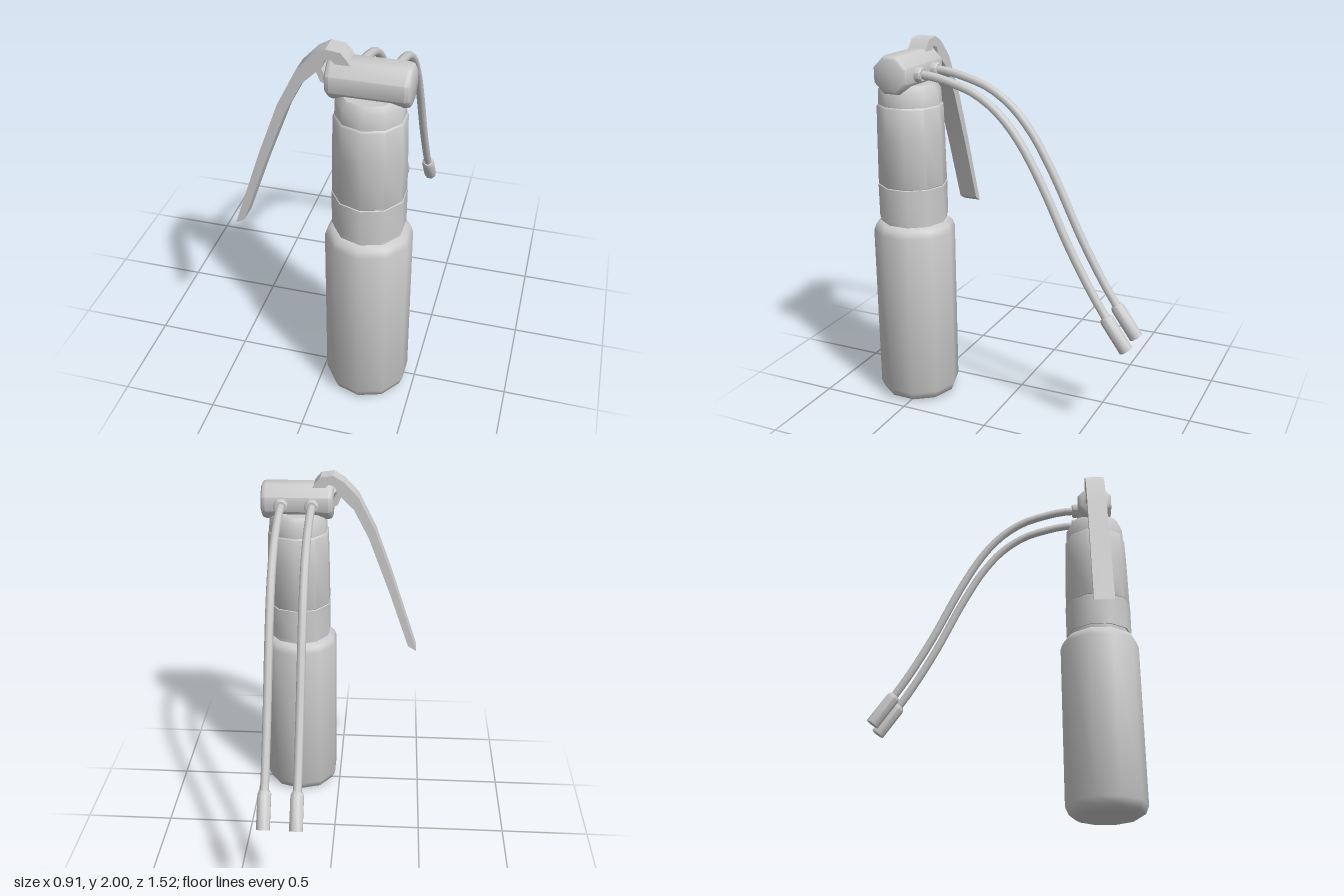
import * as THREE from 'three';
import { toCreasedNormals } from 'three/addons/utils/BufferGeometryUtils.js';

const material = new THREE.MeshStandardMaterial({ color: 0xcccccc });
const CX = 0.24, CZ = 0.54, HEAD_Y = 1.846;

function mesh(name, geometry, crease = 0.8) {
  const m = new THREE.Mesh(toCreasedNormals(geometry, crease), material);
  m.name = name;
  return m;
}

// Turned solid from [radius, height] pairs, listed from bottom to top
function turned(name, profile, sides, phase = 0) {
  const points = profile.map(([r, y]) => new THREE.Vector2(r, y));
  return mesh(name, new THREE.LatheGeometry(points, sides, phase));
}

function createHose(x) {
  const hose = new THREE.Group();
  hose.name = 'hose';
  const path = [
    [0.43, 1.843], [0.35, 1.838], [0.247, 1.815], [0.115, 1.77], [-0.016, 1.68],
    [-0.13, 1.548], [-0.25, 1.345], [-0.41, 1.02], [-0.54, 0.79], [-0.625, 0.66],
  ].map(([z, y]) => new THREE.Vector3(x, y, z));
  const curve = new THREE.CatmullRomCurve3(path);
  hose.add(mesh('hoseTube', new THREE.TubeGeometry(curve, 28, 0.023, 8), 1));

  // Collar where the hose meets the valve head
  const socket = turned('hoseSocket', [[0, 0], [0.04, 0], [0.04, 0.045], [0.034, 0.053], [0, 0.053]], 8, Math.PI / 8);
  socket.rotation.x = -Math.PI / 2;
  socket.position.set(x, 1.843, 0.46);

  // Nozzle at the free end, aligned with the end of the hose
  const start = new THREE.Vector3(x, 0.68, -0.61);
  const end = new THREE.Vector3(x, 0.515, -0.727);
  const length = start.distanceTo(end);
  const nozzle = turned('hoseNozzle', [[0, 0], [0.028, 0], [0.037, 0.018], [0.037, length], [0, length]], 8, Math.PI / 8);
  nozzle.position.copy(start);
  nozzle.quaternion.setFromUnitVectors(new THREE.Vector3(0, 1, 0), end.sub(start).normalize());

  hose.add(socket, nozzle);
  return hose;
}

export function createModel() {
  const model = new THREE.Group();
  model.name = 'handPump';

  // Ten-sided stack: body, collar, sleeve and neck
  const stack = new THREE.Group();
  stack.name = 'cylinderStack';
  stack.position.set(CX, 0, CZ);
  stack.add(
    turned('body', [
      [0, 0], [0.175, 0], [0.204, 0.016], [0.2225, 0.06],
      [0.2225, 0.975], [0.21, 1.01], [0.182, 1.03], [0, 1.03],
    ], 10),
    turned('collar', [[0, 1.02], [0.18, 1.02], [0.18, 1.05], [0.186, 1.05], [0.187, 1.235], [0.18, 1.24], [0, 1.24]], 10),
    turned('sleeve', [[0, 1.235], [0.18, 1.235], [0.185, 1.242], [0.181, 1.5], [0.177, 1.665], [0.168, 1.675], [0, 1.675]], 10),
    turned('neck', [[0, 1.665], [0.17, 1.665], [0.166, 1.75], [0.142, 1.785], [0, 1.785]], 10),
  );

  // Octagonal valve head lying along x
  const R = 0.098 / Math.cos(Math.PI / 8), H = 0.2;
  const head = turned('valveHead', [
    [0, -H], [R - 0.019, -H], [R - 0.006, -H + 0.008], [R, -H + 0.025],
    [R, H - 0.025], [R - 0.006, H - 0.008], [R - 0.019, H], [0, H],
  ], 8, Math.PI / 8);
  head.rotation.z = -Math.PI / 2;
  head.position.set(CX, HEAD_Y, CZ);

  // Squeeze lever with a hooked end gripping the head
  const outline = [
    [-0.455, 0.94], [-0.405, 0.97], [-0.285, 1.315], [-0.16, 1.645], [-0.075, 1.81], [-0.005, 1.88],
    [0.015, 1.835], [0.04, 1.822], [0.09, 1.822], [0.09, 1.86], [0.04, 1.865], [0.02, 1.9],
    [0.032, 1.942], [0.065, 1.95], [0.085, 1.93], [0.155, 1.93], [0.14, 1.955], [0.11, 1.99],
    [0.04, 2.0], [-0.02, 1.965], [-0.1, 1.88], [-0.2, 1.68], [-0.295, 1.42],
  ].map(([x, y]) => new THREE.Vector2(x, y));
  const width = 0.107;
  const lever = mesh('lever', new THREE.ExtrudeGeometry(new THREE.Shape(outline), { depth: width, bevelEnabled: false }), 0.5);
  lever.position.z = CZ - width / 2;

  model.add(stack, head, lever);
  for (const x of [0.155, 0.325]) model.add(createHose(x));
  return model;
}
